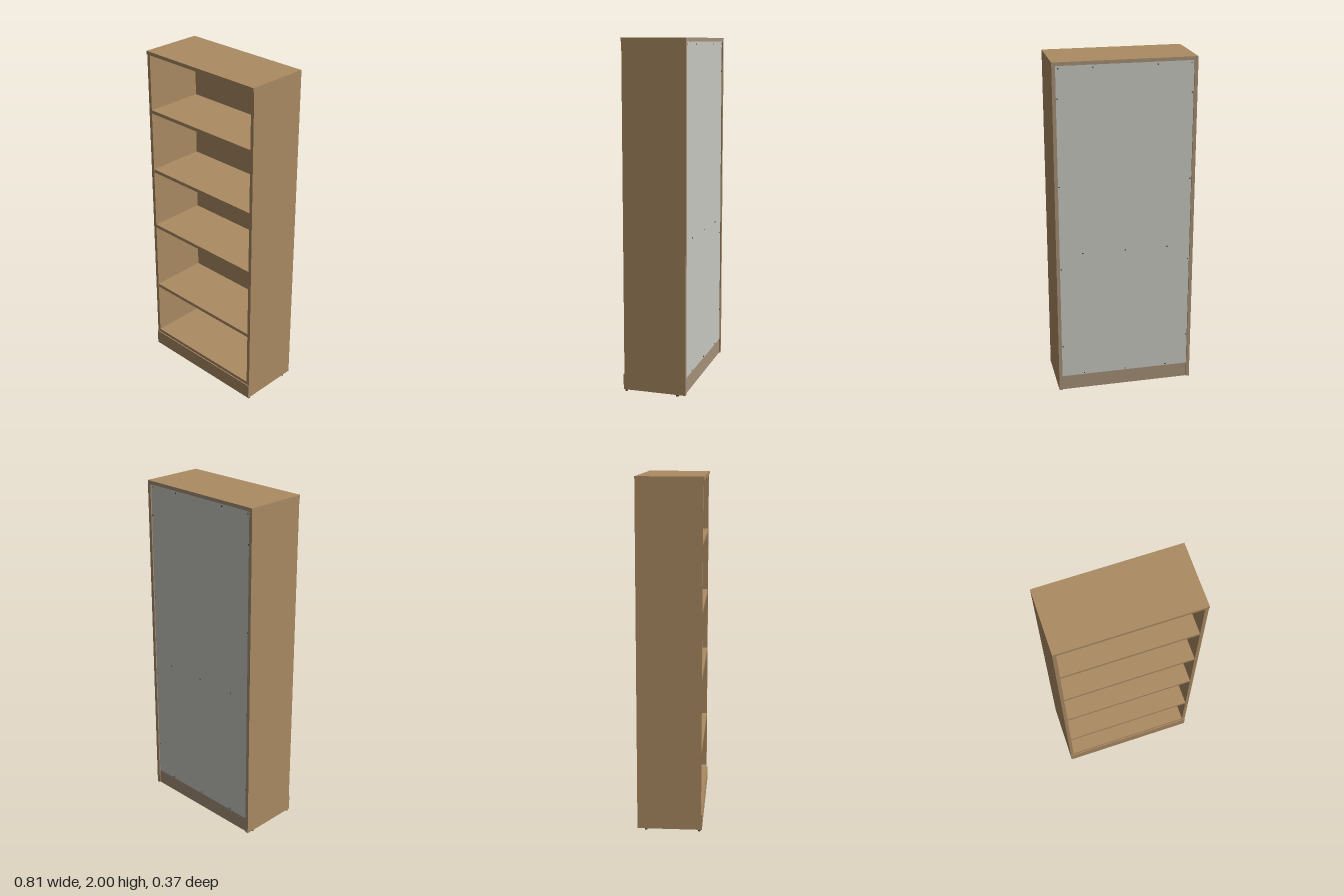
import * as THREE from 'three';

const mat = (name, color) => {
  const m = new THREE.MeshStandardMaterial({ color });
  m.name = name;
  return m;
};

export function createModel() {
  const wood = mat('wood veneer', 0xab8b63);
  const raw = mat('raw board edge', 0xa49077);
  const grey = mat('grey backing', 0xc6c6bf);
  const dark = mat('dark metal', 0x4a4238);

  const model = new THREE.Group();
  model.name = 'bookcase';

  // Box given by its limits on each axis; the rear face may have its own material
  const board = (name, [x0, x1], [y0, y1], [z0, z1], main = wood, rear = main) => {
    const geo = new THREE.BoxGeometry(x1 - x0, y1 - y0, z1 - z0);
    const mesh = new THREE.Mesh(geo, rear === main ? main : [main, main, main, main, main, rear]);
    mesh.position.set((x0 + x1) / 2, (y0 + y1) / 2, (z0 + z1) / 2);
    mesh.name = name;
    model.add(mesh);
  };

  const W = 0.405, IN = 0.385, BACK = -0.185, FRONT = 0.18;
  const inside = [-IN, IN];

  // Carcass: top, two sides, plinth and rear rail
  board('top', [-W, W], [1.98, 2], [BACK, 0.185], wood, raw);
  board('leftSide', [IN, W], [0.01, 1.98], [BACK, FRONT], wood, raw);
  board('rightSide', [-W, -IN], [0.01, 1.98], [BACK, FRONT], wood, raw);
  board('plinthFront', [-W, W], [0.01, 0.1], [FRONT, 0.185]);
  board('plinthBoard', inside, [0.01, 0.1], [0.165, FRONT], wood, raw);
  board('rearRail', inside, [0.01, 0.1], [-0.178, -0.16], raw);

  // Shelves, lowest one first
  [0.1, 0.45, 0.88, 1.255, 1.63].forEach((y, i) =>
    board(i ? 'shelf' : 'bottomShelf', inside, [y, y + 0.02], [-0.17, 0.179]));

  // Back panel: veneer inside, grey outside
  board('backPanel', inside, [0.1, 1.98], [-0.178, -0.17], wood, grey);

  // Nail heads on the back panel
  const nailGeo = new THREE.CylinderGeometry(0.004, 0.004, 0.003, 8).rotateX(Math.PI / 2);
  const nail = (x, y) => {
    const n = new THREE.Mesh(nailGeo, dark);
    n.name = 'nail';
    n.position.set(x, y, -0.179);
    model.add(n);
  };
  for (const x of [-0.377, 0.377]) for (const y of [0.3, 0.8, 1.3, 1.8]) nail(x, y);
  for (const x of [-0.25, 0, 0.25]) for (const y of [0.11, 0.89]) nail(x, y);
  for (const x of [-0.37, -0.18, 0.18, 0.37]) nail(x, 1.965);

  for (const s of [-1, 1]) {
    // Small wall brackets in the upper rear corners
    const span = (a, b) => (s > 0 ? [a, b] : [-b, -a]);
    board('bracketPlate', span(0.343, 0.37), [1.94, 1.965], [-0.17, -0.167]);
    board('bracketArm', span(0.343, 0.37), [1.962, 1.965], [-0.17, -0.145]);
    // Glide feet under the sides
    for (const z of [0.17, -0.135]) {
      const foot = new THREE.Mesh(new THREE.CylinderGeometry(0.008, 0.008, 0.01, 12), dark);
      foot.name = 'foot';
      foot.position.set(s * 0.395, 0.005, z);
      model.add(foot);
    }
  }
  return model;
}
